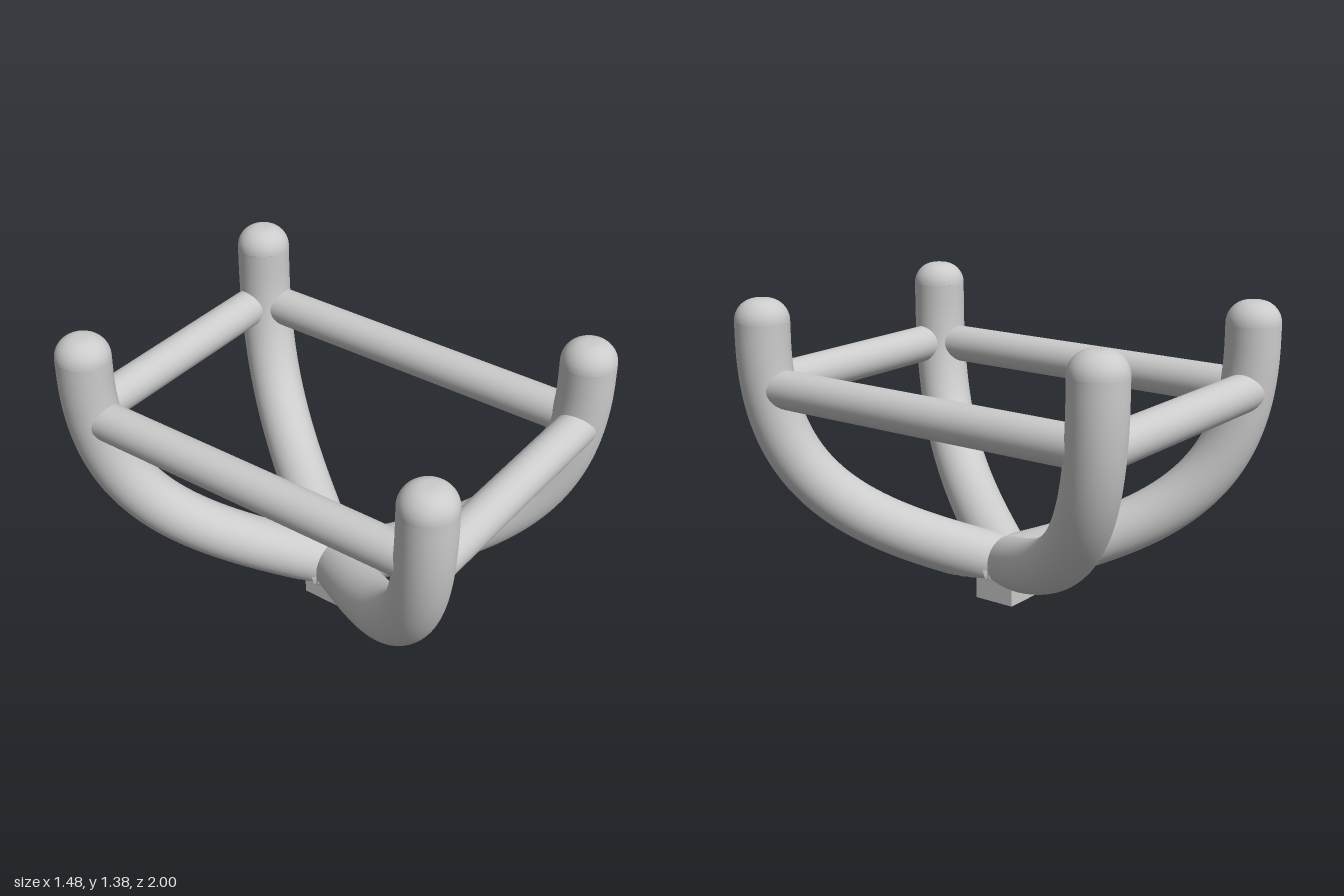
import * as THREE from 'three';
import { toCreasedNormals } from 'three/addons/utils/BufferGeometryUtils.js';

const R = 0.122;            // arm radius
const PX = 0.618, PZ = 0.878; // post positions
const POST_TOP = 1.28, FLAT_Y = 0.12;
const BAR_R = 0.0875, BAR_Y = 0.985;

// Curved arm running from the hub out to one corner, then straight up
function armGeometry(sx, sz) {
  const d = Math.hypot(PX, PZ);
  const p = (r, y) => new THREE.Vector3(sx * PX * r / d, y, sz * PZ * r / d);
  const path = new THREE.CurvePath();
  path.add(new THREE.LineCurve3(p(-0.1, 0.139), p(0, 0.165)));
  path.add(new THREE.CubicBezierCurve3(p(0, 0.165), p(0.65, 0.334), p(d, 0.5), p(d, 1.2)));
  path.add(new THREE.LineCurve3(p(d, 1.2), p(d, POST_TOP)));
  const geo = new THREE.TubeGeometry(path, 96, R, 48, false);
  // Flatten the underside at the hub
  const pos = geo.attributes.position;
  for (let i = 0; i < pos.count; i++) pos.setY(i, Math.max(FLAT_Y, pos.getY(i)));
  return toCreasedNormals(geo, 0.5);
}

// Rounded post end with a small flat crown
function capGeometry() {
  const c = 0.1, profile = [];
  for (let i = 0; i <= 12; i++) {
    const a = (i / 12) * Math.PI / 2;
    profile.push(new THREE.Vector2(R - c + c * Math.cos(a), c * Math.sin(a)));
  }
  profile.push(new THREE.Vector2(0, c));
  return new THREE.LatheGeometry(profile, 48);
}

export function createModel() {
  const model = new THREE.Group();
  const material = new THREE.MeshStandardMaterial({ color: 0xcccccc });
  const add = (name, geo, x = 0, y = 0, z = 0) => {
    const mesh = new THREE.Mesh(geo, material);
    mesh.name = name;
    mesh.position.set(x, y, z);
    model.add(mesh);
    return mesh;
  };

  // Four arms with capped posts
  const cap = capGeometry();
  for (const sx of [1, -1]) for (const sz of [1, -1]) {
    const corner = (sz > 0 ? 'front' : 'back') + (sx > 0 ? 'Left' : 'Right');
    add(corner + 'Arm', armGeometry(sx, sz));
    add(corner + 'Cap', cap, sx * PX, POST_TOP, sz * PZ);
  }

  // Rectangular ring of cross bars
  const shortBar = new THREE.CylinderGeometry(BAR_R, BAR_R, 1.22, 40).rotateZ(Math.PI / 2);
  const longBar = new THREE.CylinderGeometry(BAR_R, BAR_R, 1.74, 40).rotateX(Math.PI / 2);
  for (const s of [1, -1]) {
    add(s > 0 ? 'frontBar' : 'backBar', shortBar, 0, BAR_Y, s * 0.89);
    add(s > 0 ? 'leftBar' : 'rightBar', longBar, s * 0.615, BAR_Y, 0);
  }

  // Square mounting stub below the hub
  add('mountingStub', new THREE.BoxGeometry(0.2, 0.15, 0.2), 0, 0.075, 0);

  return model;
}
